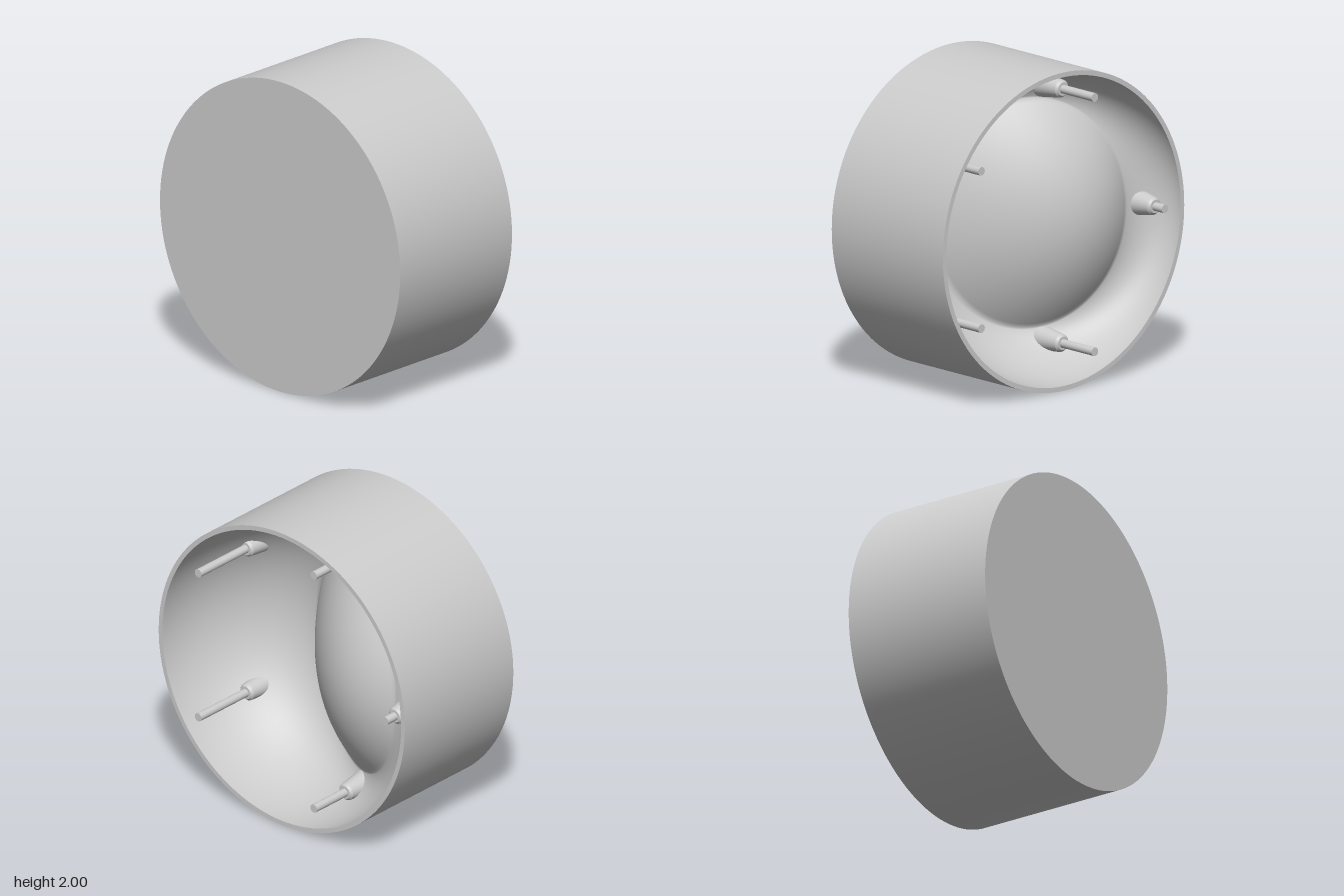
import * as THREE from 'three';
import { mergeVertices } from 'three/addons/utils/BufferGeometryUtils.js';

const HALF = 0.5;      // half of the depth
const INNER = 0.97;    // inner radius at the open rim
const DOME = { x: -0.17, rx: 0.55, ry: 0.72, depth: 0.5, slope: 0.5, bulge: 0.28 };

// Point on the hollow: u from 0 to 0.5 crosses the tilted dome,
// 0.5 to 1 follows the rounded trough up to the rim
function cavityPoint(u, a) {
  const c = Math.cos(a), s = Math.sin(a);
  const q = Math.min(1, u * 2);
  const lift = DOME.bulge * (1 - q * q);
  const dx = DOME.rx * q * c;
  const depth = DOME.depth + DOME.slope * dx - lift;
  const ang = Math.max(0, u * 2 - 1) * Math.PI / 2;
  const t = Math.sin(ang);
  return [
    THREE.MathUtils.lerp(DOME.x + dx, INNER * c, t),
    THREE.MathUtils.lerp(DOME.ry * q * s, INNER * s, t),
    -HALF + depth * Math.cos(ang),
  ];
}

function makeCavity() {
  const g = new THREE.RingGeometry(0.0005, 1, 128, 64);
  g.rotateY(Math.PI);
  const p = g.attributes.position;
  for (let i = 0; i < p.count; i++) {
    const u = Math.min(1, Math.hypot(p.getX(i), p.getY(i)));
    const a = Math.atan2(p.getY(i), p.getX(i));
    p.setXYZ(i, ...cavityPoint(u, a));
  }
  g.deleteAttribute('uv');
  g.deleteAttribute('normal');
  const merged = mergeVertices(g, 1e-5);
  merged.computeVertexNormals();
  return merged;
}

export function createModel() {
  const model = new THREE.Group();
  model.name = 'mould';
  const body = new THREE.Group();
  body.name = 'body';
  body.position.y = 1;
  model.add(body);
  const grey = new THREE.MeshStandardMaterial({ color: 0xcccccc });

  const add = (name, geometry, parent = body) => {
    const mesh = new THREE.Mesh(geometry, grey);
    mesh.name = name;
    parent.add(mesh);
  };

  // Cylinder along z between two depths below the rim
  const rod = (rBack, rFront, d0, d1, sides) => {
    const g = new THREE.CylinderGeometry(rFront, rBack, d1 - d0, sides);
    g.rotateX(Math.PI / 2);
    g.translate(0, 0, -HALF + (d0 + d1) / 2);
    return g;
  };

  // Outer shell
  add('outerWall', new THREE.CylinderGeometry(1, 1, 1, 128, 1, true).rotateX(Math.PI / 2));
  add('frontFace', new THREE.CircleGeometry(1, 128).translate(0, 0, HALF));
  add('backRim', new THREE.RingGeometry(INNER, 1, 128).rotateY(Math.PI).translate(0, 0, -HALF));

  // Hollow with the tilted dome
  add('cavity', makeCavity());

  // Five pins on bosses, mirrored about the horizontal plane
  const bossTop = [0.45, 0.3, 0.1, 0.3, 0.45];
  const bossFoot = [0.72, 0.5, 0.25, 0.5, 0.72];
  for (let i = 0; i < 5; i++) {
    const a = (36 + 72 * i) * Math.PI / 180;
    const post = new THREE.Group();
    post.name = 'pinPost';
    post.position.set(0.84 * Math.cos(a), 0.84 * Math.sin(a), 0);
    body.add(post);
    add('boss', rod(0.055, 0.085, bossTop[i], bossFoot[i], 32), post);
    add('bossCollar', rod(0.042, 0.055, bossTop[i] - 0.015, bossTop[i], 32), post);
    add('pin', rod(0.027, 0.027, 0, bossTop[i] + 0.02, 24), post);
  }
  return model;
}
